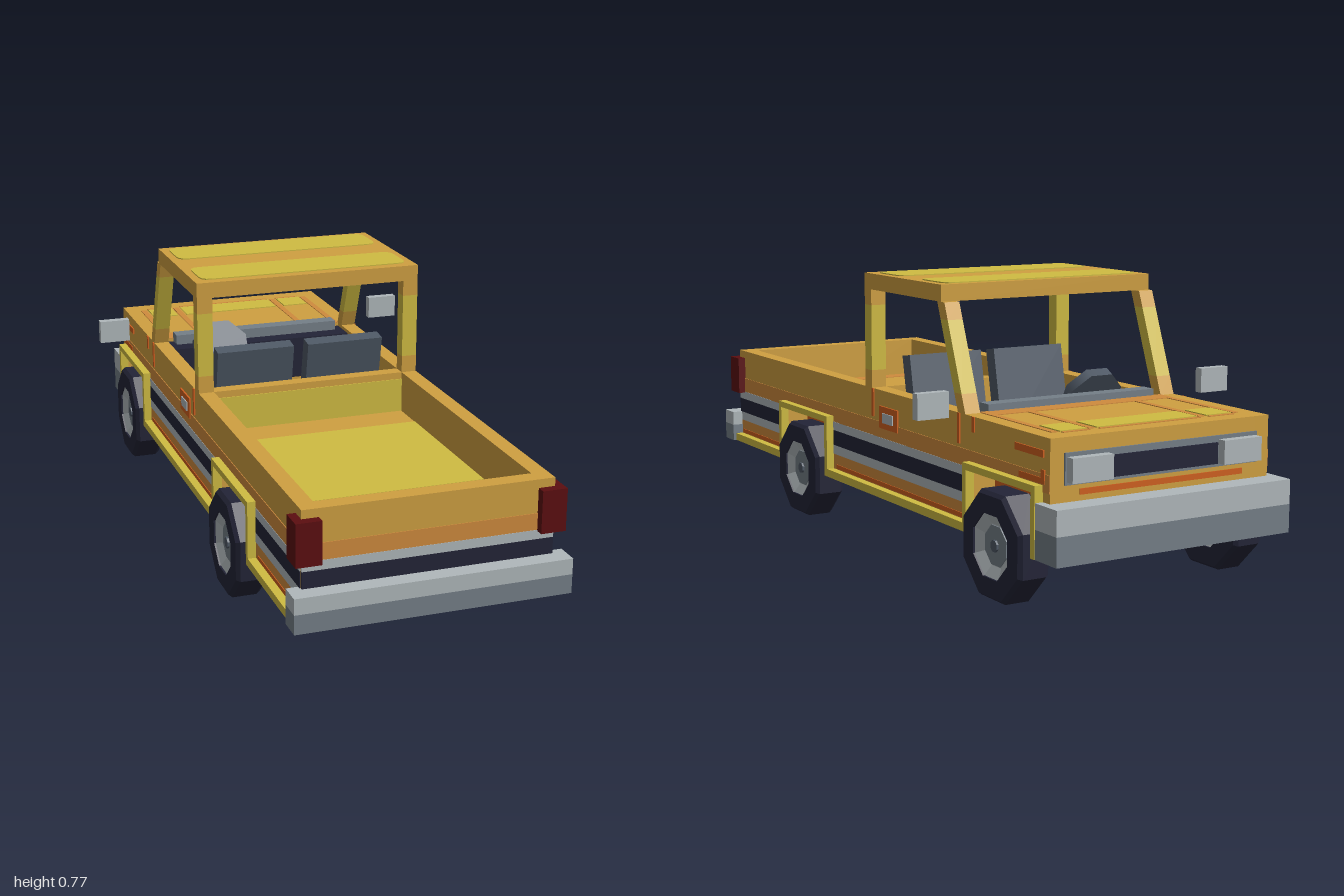
import * as THREE from 'three';

const mat = (name, color, side = THREE.FrontSide) => {
  const m = new THREE.MeshStandardMaterial({ color, side });
  m.name = name;
  return m;
};

export function createModel() {
  const root = new THREE.Group();
  root.name = 'pickupTruck';
  const ochre = mat('ochre', 0xd0a041), yellow = mat('yellow', 0xd0bc42), orange = mat('orange', 0xd08b3d);
  const rust = mat('redOrange', 0xd0601f), light = mat('lightGrey', 0xb0b8bb), grey = mat('midGrey', 0x757f88);
  const slate = mat('slate', 0x4f5966), navy = mat('navy', 0x232437), red = mat('darkRed', 0x5c0e10);

  const add = (name, geo, m) => {
    const mesh = new THREE.Mesh(geo, m);
    mesh.name = name;
    root.add(mesh);
    return mesh;
  };
  // Box from its limits on each axis
  const box = (name, m, x0, x1, y0, y1, z0, z1) => add(name,
    new THREE.BoxGeometry(x1 - x0, y1 - y0, z1 - z0).translate((x0 + x1) / 2, (y0 + y1) / 2, (z0 + z1) / 2), m);
  // The same box on both sides
  const pair = (name, m, x0, x1, ...r) => {
    box(name + 'Left', m, x0, x1, ...r);
    box(name + 'Right', m, -x1, -x0, ...r);
  };
  // Side profile of [z, y] points, extruded between x0 and x1, on both sides
  const profilePair = (name, m, pts, x0, x1) => {
    const shape = new THREE.Shape(pts.map(([z, y]) => new THREE.Vector2(z, y)));
    for (const [label, right] of [['Left', x1], ['Right', -x0]]) {
      const g = new THREE.ExtrudeGeometry(shape, { depth: x1 - x0, bevelEnabled: false });
      add(name + label, g.rotateY(-Math.PI / 2).translate(right, 0, 0), m);
    }
  };

  const W = 0.335, IN = 0.29;
  const arches = [[0.24, 0.585], [-0.905, -0.56]];

  // Body sides with wheel cutouts
  profilePair('bodySide', ochre, [
    [0.95, 0.14], [0.95, 0.44], [-0.935, 0.44], [-0.935, 0.14], [-0.888, 0.14], [-0.888, 0.305],
    [-0.577, 0.305], [-0.577, 0.14], [0.257, 0.14], [0.257, 0.305], [0.568, 0.305], [0.568, 0.14]], IN, W);
  box('tailgate', ochre, -IN, IN, 0.14, 0.44, 0.905, 0.95);
  box('bulkhead', ochre, -IN, IN, 0.14, 0.44, -0.01, 0.03);
  box('bulkheadPanel', yellow, -IN, IN, 0.32, 0.42, 0.03, 0.033);
  box('hood', ochre, -IN, IN, 0.305, 0.44, -0.935, -0.53);
  box('firewall', ochre, -IN, IN, 0.14, 0.44, -0.577, -0.53);
  box('nose', ochre, -IN, IN, 0.14, 0.31, -0.935, -0.888);

  // Load bed
  box('bedFloor', ochre, -IN, IN, 0.3, 0.32, 0.03, 0.905);
  box('bedFloorYellowBand', yellow, -IN, IN, 0.32, 0.322, 0.14, 0.63);
  box('bedFloorOrangeBand', orange, -IN, IN, 0.32, 0.322, 0.855, 0.905);
  box('rearUnderBed', ochre, -IN, IN, 0.14, 0.3, 0.568, 0.905);
  box('frontUnderBed', ochre, -IN, IN, 0.14, 0.3, 0.03, 0.257);
  box('cabFloor', slate, -IN, IN, 0.14, 0.19, -0.53, -0.01);
  for (const [z0, z1] of [[0.568, 0.95], [-0.577, 0.257], [-0.935, -0.888]])
    box('underside', yellow, -W, W, 0.137, 0.14, z0, z1);

  // Wheel wells, arch trims and axles
  for (const [z0, z1] of arches) {
    box('wheelWellCore', rust, -0.27, 0.27, 0.17, 0.3, z0 + 0.017, z1 - 0.017);
    box('wheelWellRoof', rust, -0.33, 0.33, 0.298, 0.3045, z0 + 0.017, z1 - 0.017);
    profilePair('archTrim', yellow, [[z0, 0.14], [z0, 0.322], [z1, 0.322], [z1, 0.14],
      [z1 - 0.018, 0.14], [z1 - 0.018, 0.304], [z0 + 0.018, 0.304], [z0 + 0.018, 0.14]], W, 0.36);
  }
  for (const [z0, z1] of [[0.585, 0.945], [-0.56, 0.24]]) {
    // Sill and the painted stripes between the arches
    pair('sill', yellow, W, 0.36, 0.14, 0.163, z0, z1);
    pair('sillLine', rust, W, 0.339, 0.166, 0.178, z0 + 0.02, z1 - 0.02);
    pair('lowerBand', orange, W, 0.337, 0.163, 0.208, z0, z1);
    pair('lowerStripe', light, W, 0.338, 0.208, 0.235, z0, z1);
    pair('darkStripe', navy, W, 0.338, 0.235, 0.28, z0, z1);
    pair('upperStripe', light, W, 0.338, 0.28, 0.305, z0, z1);
  }
  pair('sideBand', orange, W, 0.337, 0.305, 0.35, -0.935, 0.95);
  box('tailBand', orange, -W, W, 0.305, 0.35, 0.95, 0.952);
  box('tailUpperStripe', light, -W, W, 0.28, 0.305, 0.95, 0.953);
  box('tailDarkStripe', navy, -W, W, 0.235, 0.28, 0.95, 0.953);

  // Painted seams on the body sides: [z0, z1, y0, y1]
  for (const [z0, z1, y0, y1] of [[-0.025, -0.014, 0.36, 0.44], [-0.51, -0.499, 0.36, 0.44],
    [-0.585, -0.572, 0.4, 0.44], [-0.91, -0.78, 0.39, 0.408], [-0.9, -0.8, 0.325, 0.34], [-0.915, -0.9, 0.325, 0.36]])
    pair('sideSeam', rust, W, 0.339, y0, y1, z0, z1);
  pair('handleSurround', rust, W, 0.34, 0.333, 0.396, -0.168, -0.062);
  pair('handle', light, W, 0.343, 0.35, 0.378, -0.145, -0.085);

  // Hood paint
  box('hoodRearBand', orange, -IN, IN, 0.44, 0.442, -0.59, -0.53);
  for (const x of [-0.28, -0.17, 0.17, 0.28])
    box('hoodSeam', orange, x - 0.009, x + 0.009, 0.44, 0.442, -0.87, -0.59);
  for (const [x0, x1] of [[-0.265, -0.185], [-0.155, 0.155], [0.185, 0.265]]) {
    box('hoodPatch', yellow, x0, x1, 0.44, 0.443, -0.87, -0.78);
    box('hoodFrontSeam', orange, x0, x1, 0.44, 0.442, -0.885, -0.875);
  }

  // Roof with painted bands
  box('roof', ochre, -W, W, 0.72, 0.765, -0.41, 0.03);
  for (const [z0, z1] of [[-0.39, -0.25], [-0.14, 0]]) {
    const s = new THREE.Shape(), a = 0.312, r = 0.03;
    s.moveTo(-a + r, -z1).lineTo(a - r, -z1).quadraticCurveTo(a, -z1, a, -z1 + r)
      .lineTo(a, -z0 - r).quadraticCurveTo(a, -z0, a - r, -z0).lineTo(-a + r, -z0)
      .quadraticCurveTo(-a, -z0, -a, -z0 - r).lineTo(-a, -z1 + r).quadraticCurveTo(-a, -z1, -a + r, -z1);
    const g = new THREE.ExtrudeGeometry(s, { depth: 0.003, bevelEnabled: false, curveSegments: 3 });
    add('roofBand', g.rotateX(-Math.PI / 2).translate(0, 0.765, 0), yellow);
  }

  // Pillars in three colour sections
  const slope = y => -0.535 + (y - 0.44) * 0.385;
  for (const [y0, y1, m] of [[0.44, 0.49, ochre], [0.49, 0.675, yellow], [0.675, 0.72, ochre]]) {
    pair('rearPillar', m, IN, W, y0, y1, -0.01, 0.03);
    profilePair('frontPillar', m, [[slope(y0), y0], [slope(y0) + 0.038, y0],
      [slope(y1) + 0.038, y1], [slope(y1), y1]], IN, W);
  }

  // Interior
  box('dashboardTop', grey, -0.265, 0.265, 0.42, 0.46, -0.535, -0.49);
  box('dashboard', navy, -IN, IN, 0.3, 0.43, -0.53, -0.44);
  add('steeringWheel', new THREE.CylinderGeometry(0.09, 0.09, 0.03, 8)
    .rotateY(Math.PI / 8).rotateX(Math.PI / 3).translate(-0.145, 0.432, -0.405), slate);
  profilePair('seatBack', slate, [[-0.045, 0.53], [-0.088, 0.537], [-0.145, 0.25], [-0.1, 0.25]], 0.022, 0.255);
  pair('seatCushion', slate, 0.022, 0.255, 0.19, 0.28, -0.35, -0.1);

  // Lights, grille, mirrors and bumpers
  pair('tailLight', red, 0.29, 0.358, 0.302, 0.417, 0.908, 0.975);
  pair('headlight', light, 0.17, 0.29, 0.33, 0.392, -0.965, -0.93);
  box('grilleSurround', grey, -0.295, 0.295, 0.322, 0.402, -0.94, -0.93);
  box('grille', navy, -0.165, 0.165, 0.33, 0.385, -0.945, -0.935);
  box('noseLine', rust, -0.25, 0.25, 0.295, 0.31, -0.938, -0.934);
  pair('mirror', light, 0.403, 0.495, 0.442, 0.51, -0.57, -0.545);
  box('rearBumperUpper', light, -0.37, 0.37, 0.192, 0.235, 0.935, 1);
  box('rearBumperLower', grey, -0.37, 0.37, 0.14, 0.192, 0.935, 1);
  box('frontBumperUpper', light, -0.358, 0.358, 0.215, 0.28, -1, -0.905);
  box('frontBumperLower', grey, -0.358, 0.358, 0.14, 0.215, -1, -0.905);

  // Octagonal wheels: flat-sided tyre, dished rim and hub on both faces
  const turn = (pts) => {
    const g = new THREE.LatheGeometry(pts.map(p => new THREE.Vector2(...p)), 8, Math.PI / 8).toNonIndexed();
    g.computeVertexNormals();
    return g.rotateZ(-Math.PI / 2);
  };
  const tyre = [[0.088, -0.045], [0.14, -0.045], [0.149, -0.034], [0.149, 0.034], [0.14, 0.045], [0.088, 0.045], [0.088, -0.045]];
  for (const z of [0.41, -0.732]) {
    add('axle', new THREE.CylinderGeometry(0.017, 0.017, 0.6, 8).rotateZ(Math.PI / 2).translate(0, 0.138, z), slate);
    for (const x of [0.335, -0.335]) {
      const wheel = new THREE.Group();
      wheel.name = 'wheel';
      wheel.position.set(x, 0.138, z);
      const parts = [['tyre', turn(tyre), navy],
        ['rim', turn([[0, -0.025], [0.058, -0.025], [0.088, -0.04], [0.088, 0.04], [0.058, 0.025], [0, 0.025]]), light],
        ['hub', turn([[0, -0.028], [0.055, -0.028], [0.055, 0.028], [0, 0.028]]), grey],
        ['hubCap', turn([[0, -0.034], [0.016, -0.034], [0.016, 0.034], [0, 0.034]]), slate]];
      for (const [name, g, m] of parts) {
        const mesh = new THREE.Mesh(g, m);
        mesh.name = name;
        wheel.add(mesh);
      }
      root.add(wheel);
    }
  }
  return root;
}
